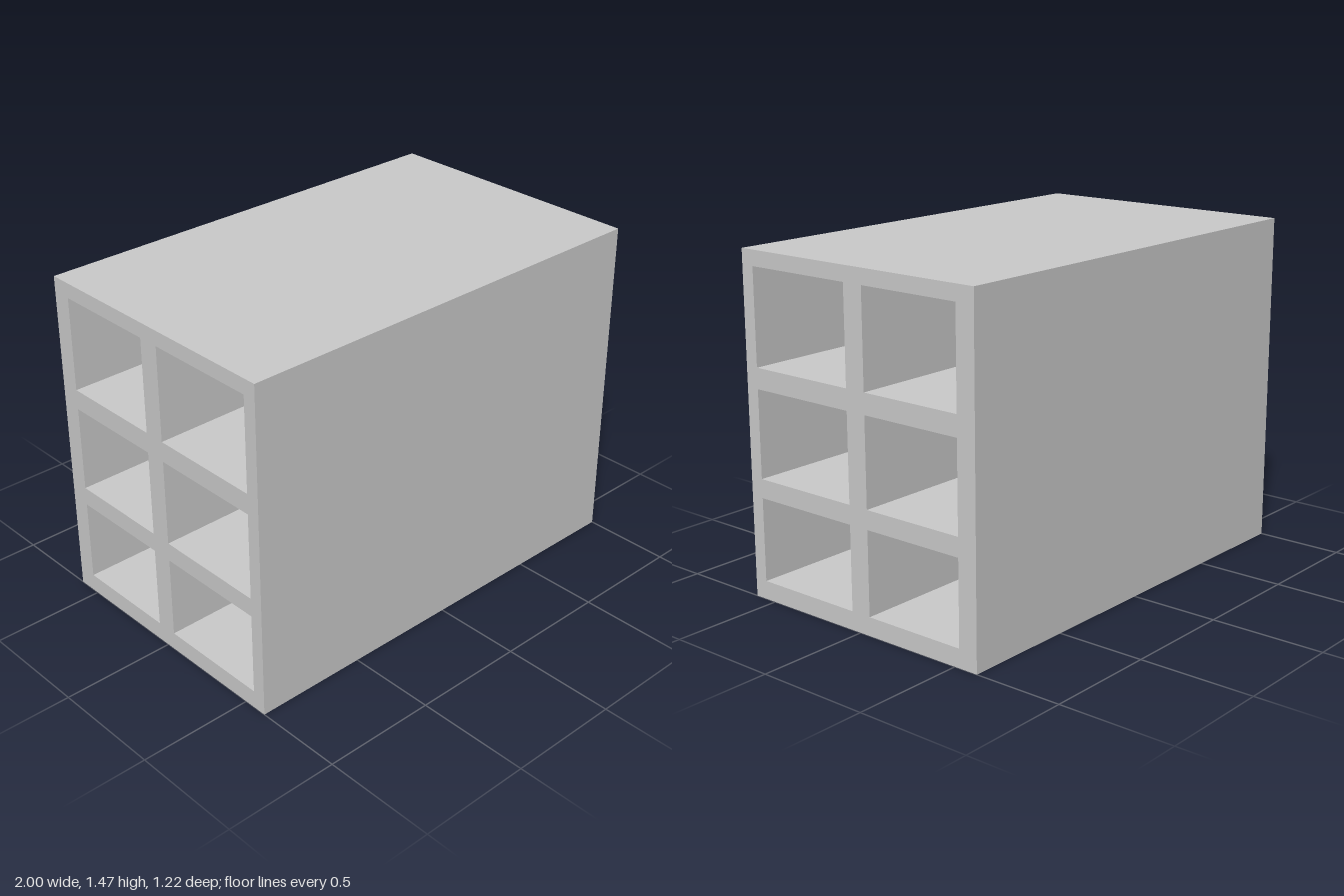
import * as THREE from 'three';

const LENGTH = 2, HEIGHT = 1.47, HALF_DEPTH = 0.61;

// Rectangle path in the end-face plane: u runs towards the back (-z), v is up
function rectangle(path, u0, u1, v0, v1) {
  path.moveTo(u0, v0);
  path.lineTo(u1, v0);
  path.lineTo(u1, v1);
  path.lineTo(u0, v1);
  path.closePath();
  return path;
}

export function createModel() {
  const group = new THREE.Group();
  group.name = 'compartmentBlock';

  // Compartments: two columns by three rows, open right through the block
  const columns = [[-0.55, -0.043], [0.052, 0.523]];
  const rows = [[0.08, 0.442], [0.524, 0.903], [0.992, 1.404]];

  const face = rectangle(new THREE.Shape(), -HALF_DEPTH, HALF_DEPTH, 0, HEIGHT);
  for (const [u0, u1] of columns) {
    for (const [v0, v1] of rows) {
      face.holes.push(rectangle(new THREE.Path(), u0, u1, v0, v1));
    }
  }

  // Extrude the end face along the x axis
  const geometry = new THREE.ExtrudeGeometry(face, { depth: LENGTH, bevelEnabled: false });
  geometry.translate(0, 0, -LENGTH / 2);
  geometry.rotateY(Math.PI / 2);

  const block = new THREE.Mesh(geometry, new THREE.MeshStandardMaterial({ color: 0xcccccc }));
  block.name = 'shelfBlock';
  group.add(block);
  return group;
}
